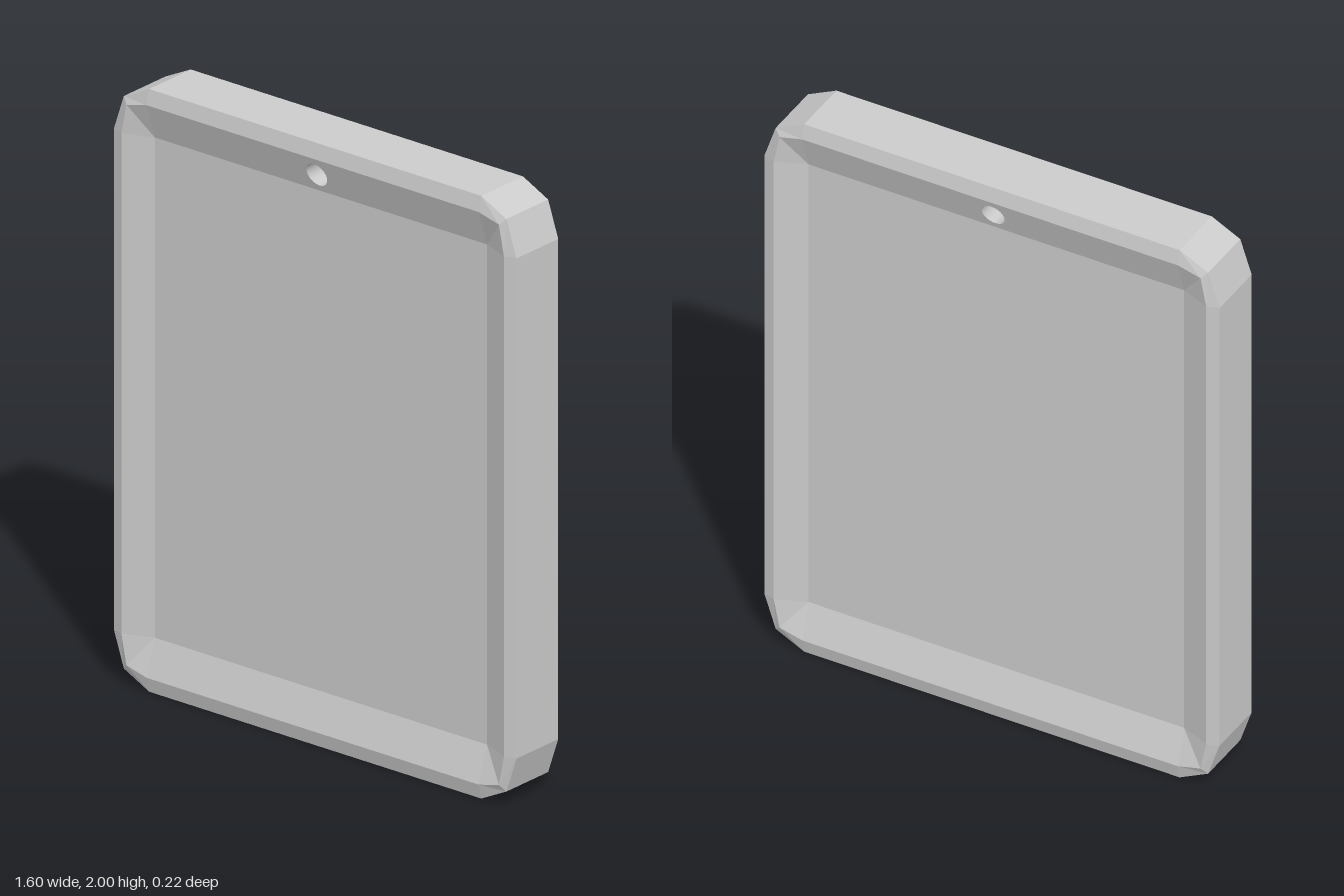
import * as THREE from 'three';

const mat = new THREE.MeshStandardMaterial({ color: 0xcccccc, flatShading: true });
const matIn = new THREE.MeshStandardMaterial({ color: 0xcccccc, side: THREE.BackSide });

const CY = 1;                       // mid height of the slab
const EDGE_Z = 0.1, RIDGE_Z = 0.112, FLOOR_Z = 0.072;
const FX = 0.66, FY = 0.83, RY = 0.95; // floor half size, ridge half height
const HOLE_Y = 1.89, HOLE_R = 0.04;

// height of the sloping top band at a given y
const slopeZ = (y) => FLOOR_Z + (RIDGE_Z - FLOOR_Z) * (y - CY - FY) / (RY - FY);

// closed 12-point ring from three corner points, mirrored to all quadrants
function ring(corner, z) {
  const rev = [...corner].reverse();
  return [[1, 1, corner], [-1, 1, rev], [-1, -1, corner], [1, -1, rev]].flatMap(([sx, sy, c]) =>
    c.map(([x, y]) => new THREE.Vector3(sx * x, CY + sy * y, z)));
}

// flat-shaded skin between successive rings, leaving out chosen quads
function skin(rings, skip = () => false) {
  const pts = [];
  const tri = (a, b, c) => {
    if (!a.equals(b) && !b.equals(c) && !a.equals(c)) pts.push(a, b, c);
  };
  for (let r = 0; r < rings.length - 1; r++) {
    const A = rings[r], B = rings[r + 1];
    for (let i = 0; i < A.length; i++) {
      if (skip(r, i)) continue;
      const j = (i + 1) % A.length;
      tri(A[i], B[i], B[j]);
      tri(A[i], B[j], A[j]);
    }
  }
  const g = new THREE.BufferGeometry().setFromPoints(pts);
  g.computeVertexNormals();
  return g;
}

function part(name, geometry, material = mat) {
  const m = new THREE.Mesh(geometry, material);
  m.name = name;
  return m;
}

// move vertices in z by a rule
function bendZ(g, rule) {
  const p = g.attributes.position;
  for (let i = 0; i < p.count; i++) p.setZ(i, rule(p.getY(i), p.getZ(i)));
  g.computeVertexNormals();
  return g;
}

export function createModel() {
  const model = new THREE.Group();
  model.name = 'slab';

  const outer = [[0.8, 0.83], [0.76, 0.95], [0.66, 1]];
  const ridge = [[0.76, 0.83], [0.74, 0.93], [0.66, RY]];
  const floor = [[FX, FY], [FX, FY], [FX, FY]];

  // side wall
  model.add(part('sideWall', skin([ring(outer, EDGE_Z), ring(outer, -EDGE_Z)])));

  // dished face with raised rim, used on both sides
  const face = new THREE.Group();
  face.name = 'frontFace';
  face.add(part('rim', skin(
    [ring(floor, FLOOR_Z), ring(ridge, RIDGE_Z), ring(outer, EDGE_Z)],
    (r, i) => r === 0 && i === 2)));
  const panel = new THREE.PlaneGeometry(2 * FX, 2 * FY);
  panel.translate(0, CY, FLOOR_Z);
  face.add(part('panel', panel));

  // sloping top band, pierced by the hole
  const band = new THREE.Shape([
    [-FX, CY + FY], [FX, CY + FY], [FX, CY + RY], [-FX, CY + RY],
  ].map(([x, y]) => new THREE.Vector2(x, y)));
  band.holes.push(new THREE.Path().absarc(0, HOLE_Y, HOLE_R, 0, Math.PI * 2, true));
  face.add(part('topBand', bendZ(new THREE.ShapeGeometry(band, 12), slopeZ)));
  model.add(face);

  const back = face.clone();
  back.name = 'backFace';
  back.rotation.y = Math.PI;
  model.add(back);

  // inner wall of the hole, trimmed to the sloping bands
  const bore = new THREE.CylinderGeometry(HOLE_R, HOLE_R, 1, 24, 1, true);
  bore.rotateX(Math.PI / 2).translate(0, HOLE_Y, 0);
  model.add(part('holeWall', bendZ(bore, (y, z) => Math.sign(z) * slopeZ(y)), matIn));

  return model;
}
